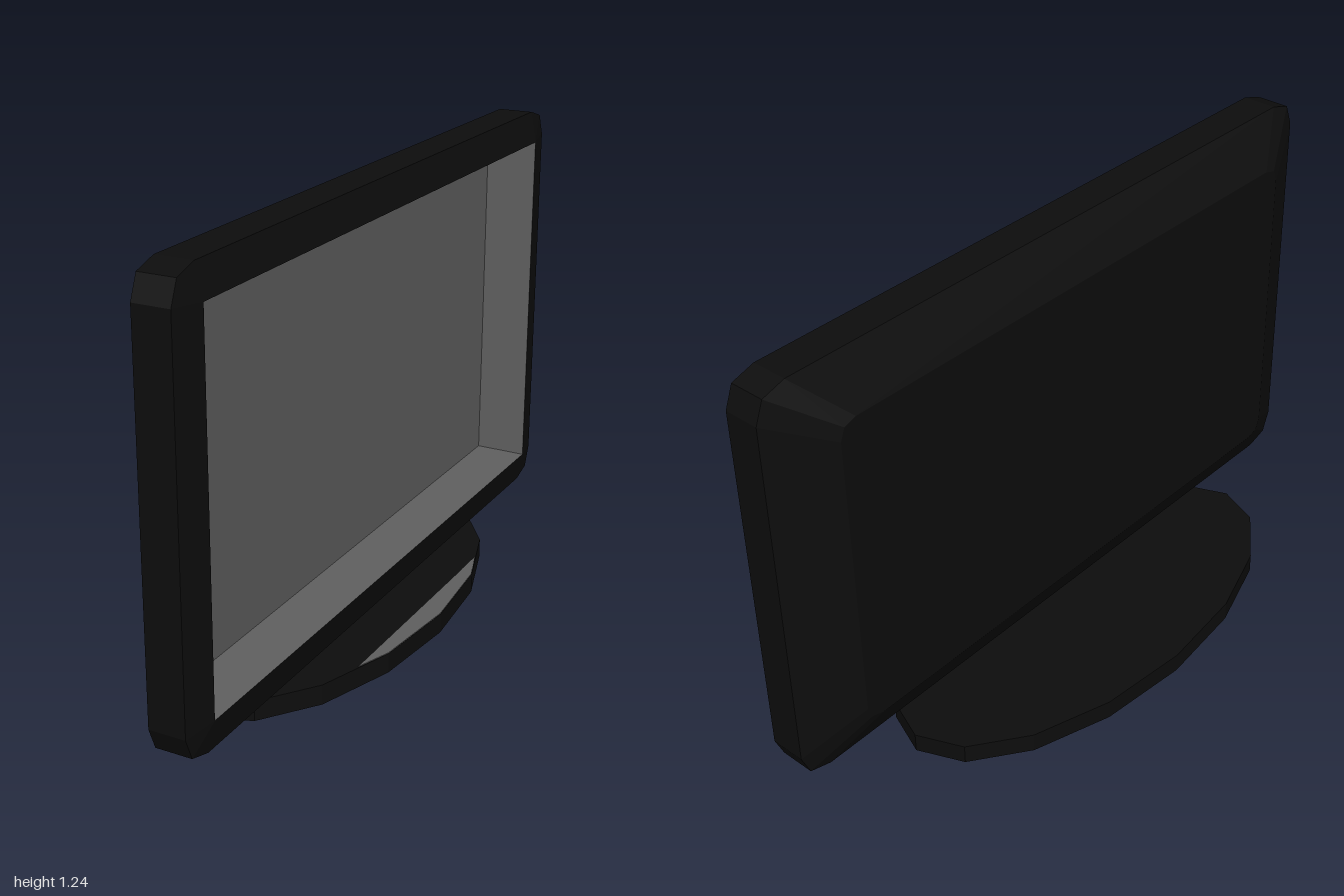
import * as THREE from 'three';

const bodyBlack = new THREE.MeshStandardMaterial({ color: 0x0d0d0d, flatShading: true });
bodyBlack.name = 'bodyBlack';
const screenGrey = new THREE.MeshStandardMaterial({ color: 0x606060, flatShading: true });
screenGrey.name = 'screenGrey';

const MID_Y = 0.66; // height of the panel's centre

// Rectangle across z and y at depth x, with corners cut in two steps;
// counter-clockwise when seen from +x.
function ring(x, halfZ, halfY, cutZ = 0, cutY = 0) {
  const corner = [[0, cutY], [0.27 * cutZ, 0.25 * cutY], [cutZ, 0]];
  const points = [];
  for (const [su, sy] of [[1, 1], [-1, 1], [-1, -1], [1, -1]]) {
    const steps = su * sy > 0 ? corner : [...corner].reverse();
    for (const [dz, dy] of steps) {
      points.push(new THREE.Vector3(x, MID_Y + sy * (halfY - dy), -su * (halfZ - dz)));
    }
  }
  return points;
}

// Skins a list of rings, with optional caps on the first and last one.
function loft(rings, capFirst, capLast) {
  const positions = [];
  const triangle = (a, b, c) => {
    const area = b.clone().sub(a).cross(c.clone().sub(a)).length();
    if (area > 1e-8) for (const p of [a, b, c]) positions.push(p.x, p.y, p.z);
  };
  for (let i = 0; i < rings.length - 1; i++) {
    const r = rings[i], s = rings[i + 1], n = r.length;
    for (let j = 0; j < n; j++) {
      const k = (j + 1) % n;
      triangle(r[j], r[k], s[k]);
      triangle(r[j], s[k], s[j]);
    }
  }
  const first = rings[0], last = rings[rings.length - 1];
  for (let j = 1; j < first.length - 1; j++) {
    if (capFirst) triangle(first[0], first[j + 1], first[j]);
    if (capLast) triangle(last[0], last[j], last[j + 1]);
  }
  const geometry = new THREE.BufferGeometry();
  geometry.setAttribute('position', new THREE.Float32BufferAttribute(positions, 3));
  geometry.computeVertexNormals();
  return geometry;
}

function addMesh(parent, name, geometry, material) {
  const mesh = new THREE.Mesh(geometry, material);
  mesh.name = name;
  parent.add(mesh);
  return mesh;
}

export function createModel() {
  const model = new THREE.Group();
  model.name = 'television';

  // Everything is turned slightly about the vertical axis
  const turned = new THREE.Group();
  turned.name = 'turnedSet';
  turned.rotation.y = 0.037;
  model.add(turned);

  const panel = new THREE.Group();
  panel.name = 'panel';
  panel.position.z = 0.004;
  turned.add(panel);

  // Casing: bevelled back, straight rim, shallow sloping bezel
  addMesh(panel, 'casing', loft([
    ring(0.002, 0.83, 0.45, 0.05, 0.045),
    ring(0.076, 0.996, 0.58, 0.09, 0.08),
    ring(0.175, 0.996, 0.58, 0.09, 0.08),
    ring(0.193, 0.902, 0.493),
  ], true, false), bodyBlack);

  // Recess walls narrowing to the screen
  const opening = ring(0.193, 0.902, 0.493);
  const screenEdge = ring(0.053, 0.88, 0.483);
  addMesh(panel, 'recessWalls', loft([opening, screenEdge], false, false), screenGrey);
  addMesh(panel, 'screen', loft([screenEdge], false, true), screenGrey);

  // Oval sixteen-sided foot
  const foot = new THREE.CylinderGeometry(1, 1, 0.055, 16);
  foot.scale(0.333, 1, 0.68);
  foot.translate(0, 0.0275, 0);
  addMesh(turned, 'foot', foot, bodyBlack);

  // Grey sliver along the front edge of the foot
  const sliver = new THREE.Shape([
    [0.272, -0.36], [0.307, -0.26], [0.332, 0], [0.307, 0.26], [0.272, 0.36],
  ].map(([x, z]) => new THREE.Vector2(x, z)));
  const plate = new THREE.ExtrudeGeometry(sliver, { depth: 0.002, bevelEnabled: false });
  plate.rotateX(-Math.PI / 2);
  plate.translate(0, 0.055, 0);
  addMesh(turned, 'footAccent', plate, screenGrey);

  return model;
}
